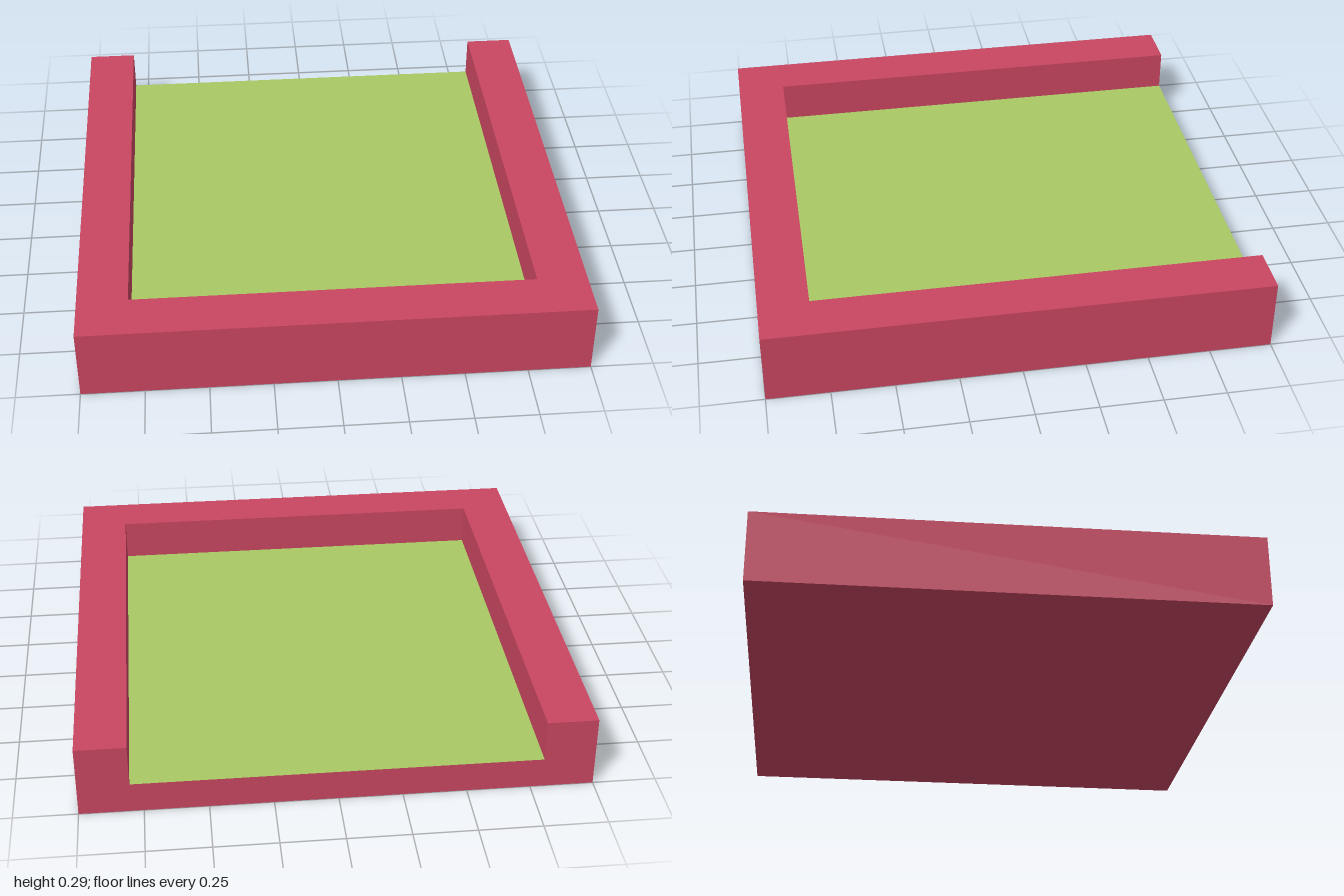
import * as THREE from 'three';

const HEIGHT = 0.295, FLOOR = 0.125, INNER = 0.8;

export function createModel() {
  const red = new THREE.MeshStandardMaterial({ color: 0xc94661 });
  red.name = 'red';
  const green = new THREE.MeshStandardMaterial({ color: 0xa9c963 });
  green.name = 'green';

  const model = new THREE.Group();
  model.name = 'openTray';

  // U-shaped rim, open at the back; drawn as (x, -z) and extruded upwards
  const outline = new THREE.Shape([
    [-1, -1], [1, -1], [1, 1], [INNER, 1],
    [INNER, -INNER], [-INNER, -INNER], [-INNER, 1], [-1, 1],
  ].map(([x, y]) => new THREE.Vector2(x, y)));
  const rimGeometry = new THREE.ExtrudeGeometry(outline, { depth: HEIGHT, bevelEnabled: false });
  rimGeometry.rotateX(-Math.PI / 2);
  const rim = new THREE.Mesh(rimGeometry, red);
  rim.name = 'rim';
  model.add(rim);

  // Floor slab filling the rim: green on its top face only
  const floor = new THREE.Mesh(
    new THREE.BoxGeometry(2 * INNER, FLOOR, 1 + INNER),
    [red, red, green, red, red, red],
  );
  floor.name = 'floor';
  floor.position.set(0, FLOOR / 2, (INNER - 1) / 2);
  model.add(floor);

  return model;
}
